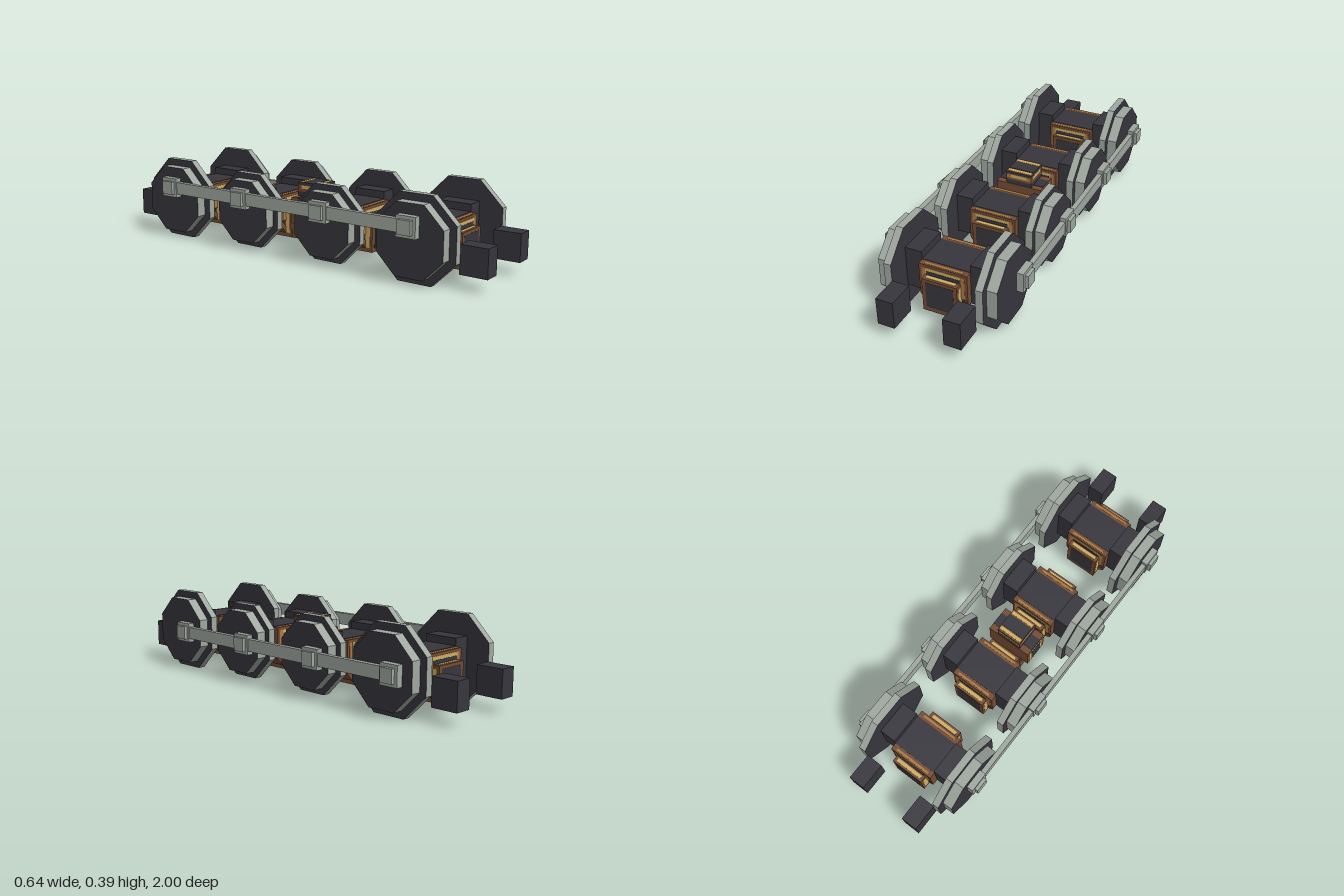
import * as THREE from 'three';

const mat = (name, color) => {
  const m = new THREE.MeshStandardMaterial({ color });
  m.name = name;
  return m;
};

export function createModel() {
  const dark = mat('dark iron', 0x37363d);
  const steel = mat('grey steel', 0xa0a8a1);
  const brown = mat('brown frame', 0x744c34);
  const tan = mat('tan trim', 0xab7a44);
  const gold = mat('gold trim', 0xcdae63);
  const model = new THREE.Group();
  model.name = 'wheelTruck';

  // Box from its min and max corners
  const box = (parent, name, material, [x0, y0, z0], [x1, y1, z1]) => {
    const mesh = new THREE.Mesh(new THREE.BoxGeometry(x1 - x0, y1 - y0, z1 - z0), material);
    mesh.position.set((x0 + x1) / 2, (y0 + y1) / 2, (z0 + z1) / 2);
    mesh.name = name;
    parent.add(mesh);
    return mesh;
  };
  const faces = (side, top, bottom, end) => [side, side, top, bottom, end, end];

  // Octagonal disc with its axis on x, flat side up, steel rim and dark faces
  const disc = (parent, name, apothem, x0, x1, z) => {
    const r = apothem / Math.cos(Math.PI / 8);
    let g = new THREE.CylinderGeometry(r, r, x1 - x0, 8);
    g.rotateY(Math.PI / 8).rotateZ(-Math.PI / 2);
    g = g.toNonIndexed();
    g.computeVertexNormals();
    const mesh = new THREE.Mesh(g, [steel, dark, dark]);
    mesh.position.set((x0 + x1) / 2, 0.194, z);
    mesh.name = name;
    parent.add(mesh);
  };

  const axles = [
    { z: 0.68, flange: 0.194, tread: 0.161 },
    { z: 0.23, flange: 0.175, tread: 0.147 },
    { z: -0.23, flange: 0.175, tread: 0.147 },
    { z: -0.68, flange: 0.194, tread: 0.161 },
  ];

  for (const { z, flange, tread } of axles) {
    const axle = new THREE.Group();
    axle.name = 'axleUnit';
    axle.position.z = z;
    model.add(axle);

    // Wheels and axle boxes
    for (const s of [-1, 1]) {
      const [f0, f1] = s > 0 ? [0.193, 0.227] : [-0.227, -0.193];
      const [t0, t1] = s > 0 ? [0.226, 0.275] : [-0.275, -0.226];
      disc(axle, 'wheelFlange', flange, f0, f1, 0);
      disc(axle, 'wheelTread', tread, t0, t1, 0);
      const [b0, b1] = s > 0 ? [0.113, 0.193] : [-0.193, -0.113];
      box(axle, 'axleBox', dark, [b0, 0.098, -0.08], [b1, 0.292, 0.08]);

      // Slanted brace under the upper housing
      const shape = new THREE.Shape([
        [0.113, 0.13], [0.08, 0.1], [0.08, 0.066], [0.113, 0.102],
      ].map(([x, y]) => new THREE.Vector2(s * x, y)));
      const g = new THREE.ExtrudeGeometry(shape, { depth: 0.22, bevelEnabled: false });
      g.translate(0, 0, -0.11);
      const brace = new THREE.Mesh(g, brown);
      brace.name = 'slantedBrace';
      axle.add(brace);
    }

    // Upper housing with a dark lid, and the longer lower housing through it
    box(axle, 'upperHousing', faces(brown, brown, dark, brown), [-0.113, 0.13, -0.11], [0.113, 0.256, 0.11]);
    box(axle, 'housingLid', dark, [-0.113, 0.255, -0.08], [0.113, 0.258, 0.08]);
    box(axle, 'lowerHousing', faces(brown, brown, dark, brown), [-0.082, 0.05, -0.145], [0.082, 0.21, 0.145]);

    // Nested trim on both ends
    for (const s of [-1, 1]) {
      const plate = (name, m, x, y0, y1, d, t) =>
        box(axle, name, m, [-x, y0, s * d - t], [x, y1, s * d + t]);
      plate('tanTrim', tan, 0.1, 0.135, 0.243, 0.11, 0.001);
      plate('goldTrim', gold, 0.082, 0.14, 0.243, 0.11, 0.002);
      plate('darkPanel', dark, 0.078, 0.14, 0.227, 0.11, 0.003);
      plate('lowerPanel', dark, 0.065, 0.07, 0.195, 0.145, 0.001);
      // Strips on top of both housings
      box(axle, 'upperGoldStrip', tan, [-0.09, 0.255, s * 0.097 - 0.005], [0.09, 0.257, s * 0.097 + 0.005]);
      box(axle, 'lowerGoldStrip', gold, [-0.068, 0.209, s * 0.127 - 0.008], [0.068, 0.212, s * 0.127 + 0.008]);
      // Gold bands on the lower housing sides
      for (const e of [-1, 1]) {
        box(axle, 'sideBand', gold, [s * 0.082 - 0.001, 0.07, e * 0.12 - 0.012], [s * 0.082 + 0.001, 0.195, e * 0.12 + 0.012]);
      }
      box(axle, 'sidePanel', dark, [s * 0.082 - 0.001, 0.07, -0.1], [s * 0.082 + 0.001, 0.195, 0.1]);
    }
  }

  // Connector between the two middle axles
  box(model, 'centreBeam', faces(brown, dark, dark, brown), [-0.08, 0.05, -0.09], [0.08, 0.13, 0.09]);

  // Centre pivot: wide base and small cap
  const pivot = new THREE.Group();
  pivot.name = 'centrePivot';
  model.add(pivot);
  box(pivot, 'pivotBase', faces(brown, brown, dark, brown), [-0.113, 0.13, -0.063], [0.113, 0.256, 0.063]);
  box(pivot, 'pivotBaseLid', dark, [-0.113, 0.255, -0.032], [0.113, 0.258, 0.032]);
  box(pivot, 'pivotNeck', dark, [-0.063, 0.256, -0.061], [0.063, 0.277, 0.061]);
  box(pivot, 'pivotCap', brown, [-0.063, 0.277, -0.062], [0.063, 0.31, 0.062]);
  box(pivot, 'pivotTop', faces(dark, brown, dark, dark), [-0.063, 0.31, -0.063], [0.063, 0.321, 0.063]);
  box(pivot, 'pivotTopPanel', dark, [-0.063, 0.32, -0.032], [0.063, 0.323, 0.032]);
  for (const s of [-1, 1]) {
    box(pivot, 'capTanBand', tan, [-0.06, 0.287, s * 0.062 - 0.001], [0.06, 0.308, s * 0.062 + 0.001]);
    box(pivot, 'capGoldBand', gold, [-0.04, 0.292, s * 0.062 - 0.002], [0.04, 0.308, s * 0.062 + 0.002]);
    box(pivot, 'capSideBand', gold, [s * 0.063 - 0.001, 0.292, -0.04], [s * 0.063 + 0.001, 0.308, 0.04]);
    box(pivot, 'topGoldStrip', gold, [-0.058, 0.32, s * 0.046 - 0.008], [0.058, 0.322, s * 0.046 + 0.008]);
    box(pivot, 'baseSideGold', gold, [s * 0.113 - 0.001, 0.14, -0.045], [s * 0.113 + 0.001, 0.243, 0.045]);
    box(pivot, 'baseSidePanel', dark, [s * 0.113 - 0.002, 0.14, -0.034], [s * 0.113 + 0.002, 0.23, 0.034]);
  }

  // Coupling rods: a quarter turn apart on the two sides
  for (const { s, y, dz } of [{ s: 1, y: 0.195, dz: -0.063 }, { s: -1, y: 0.26, dz: 0 }]) {
    const rod = new THREE.Group();
    rod.name = s > 0 ? 'leftCouplingRod' : 'rightCouplingRod';
    rod.position.set(0, y, dz);
    model.add(rod);
    const part = (name, a, b, h, z0, z1) =>
      box(rod, name, steel, [Math.min(s * a, s * b), -h, z0], [Math.max(s * a, s * b), h, z1]);
    part('rodBar', 0.278, 0.302, 0.029, -0.72, 0.72);
    for (const { z } of axles) {
      part('rodLug', 0.275, 0.306, 0.047, z - 0.047, z + 0.047);
      part('crankPin', 0.306, 0.322, 0.032, z - 0.032, z + 0.032);
    }
  }

  // Corner blocks at both ends
  for (const sx of [-1, 1]) for (const sz of [-1, 1]) {
    const block = box(model, 'cornerBlock', dark, [0.113, 0.066, 0.872], [0.193, 0.195, 1]);
    block.position.x *= sx;
    block.position.z *= sz;
  }
  return model;
}
